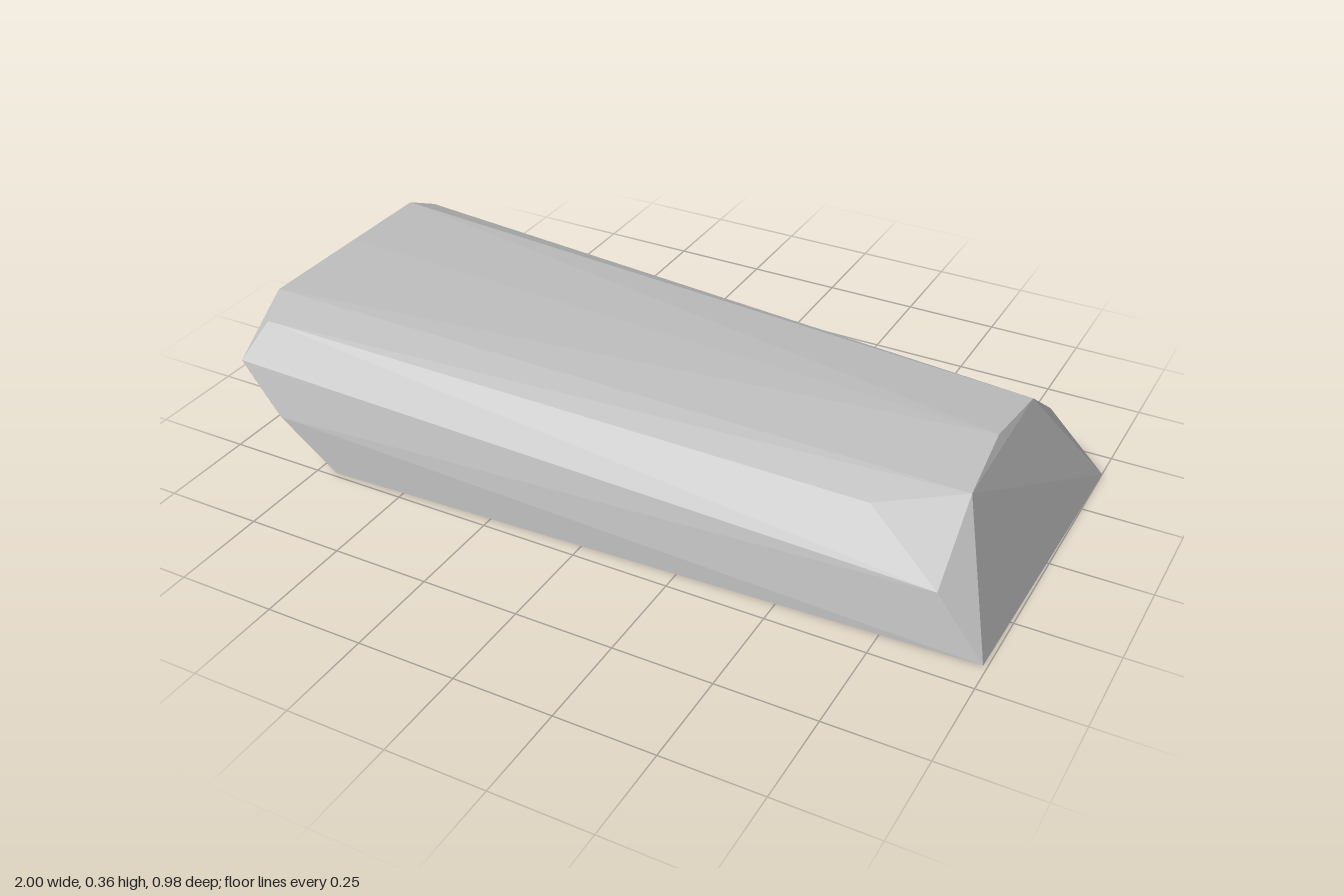
import * as THREE from 'three';
import { ConvexGeometry } from 'three/addons/geometries/ConvexGeometry.js';

export function createModel() {
  const group = new THREE.Group();
  group.name = 'stoneBlock';
  const stone = new THREE.MeshStandardMaterial({ color: 0xc0c0c0 });
  stone.name = 'grey stone';

  // Tapered, slightly irregular slab: the hull of its corners
  const corners = [
    // sloping narrow end
    [0.99, 0, 0.42], [1, 0, -0.42],
    [0.865, 0.14, 0.4], [0.86, 0.28, 0.205], [0.84, 0.3, -0.02],
    [0.85, 0.28, -0.24], [0.86, 0.18, -0.375], [0.66, 0.25, 0.305],
    // rim of the wide end
    [-1, 0.165, 0.42], [-0.99, 0.235, 0.46], [-0.955, 0.32, 0.385],
    [-1, 0.35, 0.28], [-0.99, 0.356, -0.03], [-1, 0.35, -0.3],
    [-0.985, 0.31, -0.39], [-1, 0.26, -0.43], [-1, 0.165, -0.43],
    // lower bevel of the wide end
    [-0.86, 0.12, 0.488], [-0.93, 0.155, -0.492],
    [-0.7, 0, 0.488], [-0.72, 0, -0.49],
  ];
  const slab = new THREE.Mesh(
    new ConvexGeometry(corners.map((c) => new THREE.Vector3(...c))), stone);
  slab.name = 'slab';
  group.add(slab);
  return group;
}
